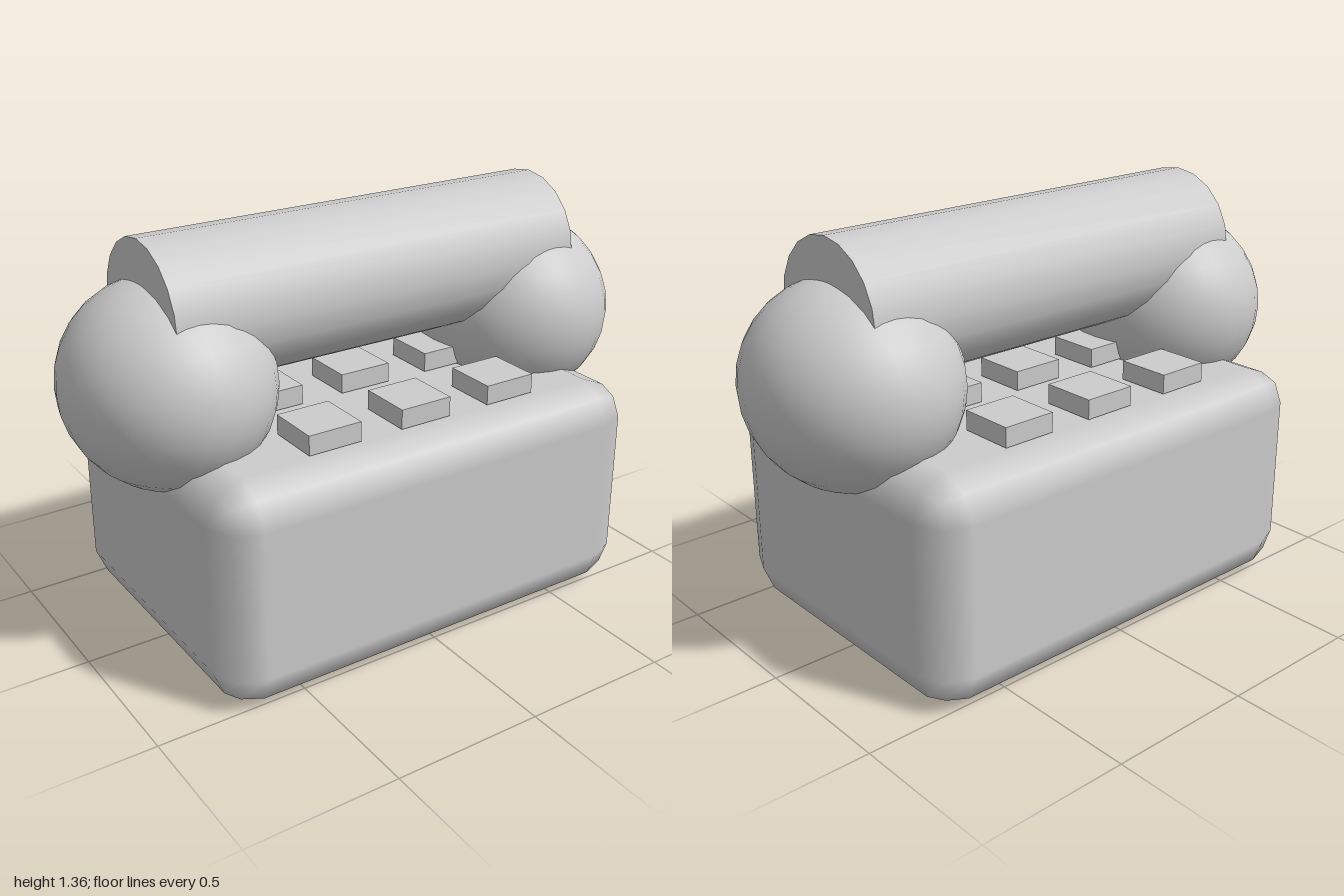
import * as THREE from 'three';
import { RoundedBoxGeometry } from 'three/addons/geometries/RoundedBoxGeometry.js';

export function createModel() {
  const model = new THREE.Group();
  model.name = 'deskTelephone';

  const plastic = new THREE.MeshStandardMaterial({ color: 0xcccccc });
  plastic.name = 'grey plastic';

  const add = (name, geometry, x, y, z, parent = model) => {
    const mesh = new THREE.Mesh(geometry, plastic);
    mesh.name = name;
    mesh.position.set(x, y, z);
    parent.add(mesh);
    return mesh;
  };

  // Body with softly bevelled edges
  add('body', new RoundedBoxGeometry(1.556, 0.742, 1.11, 1, 0.125), 0, 0.371, 0);

  // Three by three keypad, just proud of the body top
  const keypad = new THREE.Group();
  keypad.name = 'keypad';
  model.add(keypad);
  const keyGeometry = new THREE.BoxGeometry(0.184, 0.065, 0.184);
  for (let row = -1; row <= 1; row++) {
    for (let column = -1; column <= 1; column++) {
      add('key', keyGeometry, column * 0.334, 0.78, row * 0.334, keypad);
    }
  }

  // Handset: horizontal grip with a slightly deep ball at each end
  const handset = new THREE.Group();
  handset.name = 'handset';
  model.add(handset);
  const grip = new THREE.CylinderGeometry(0.24, 0.24, 1.48, 20).rotateZ(Math.PI / 2);
  add('grip', grip, 0, 1.115, 0, handset);

  const ball = new THREE.SphereGeometry(1, 32, 16);
  for (const side of [-1, 1]) {
    const name = side > 0 ? 'leftHandsetEnd' : 'rightHandsetEnd';
    add(name, ball, side * 0.668, 0.893, 0, handset).scale.set(0.332, 0.332, 0.369);
  }

  return model;
}
